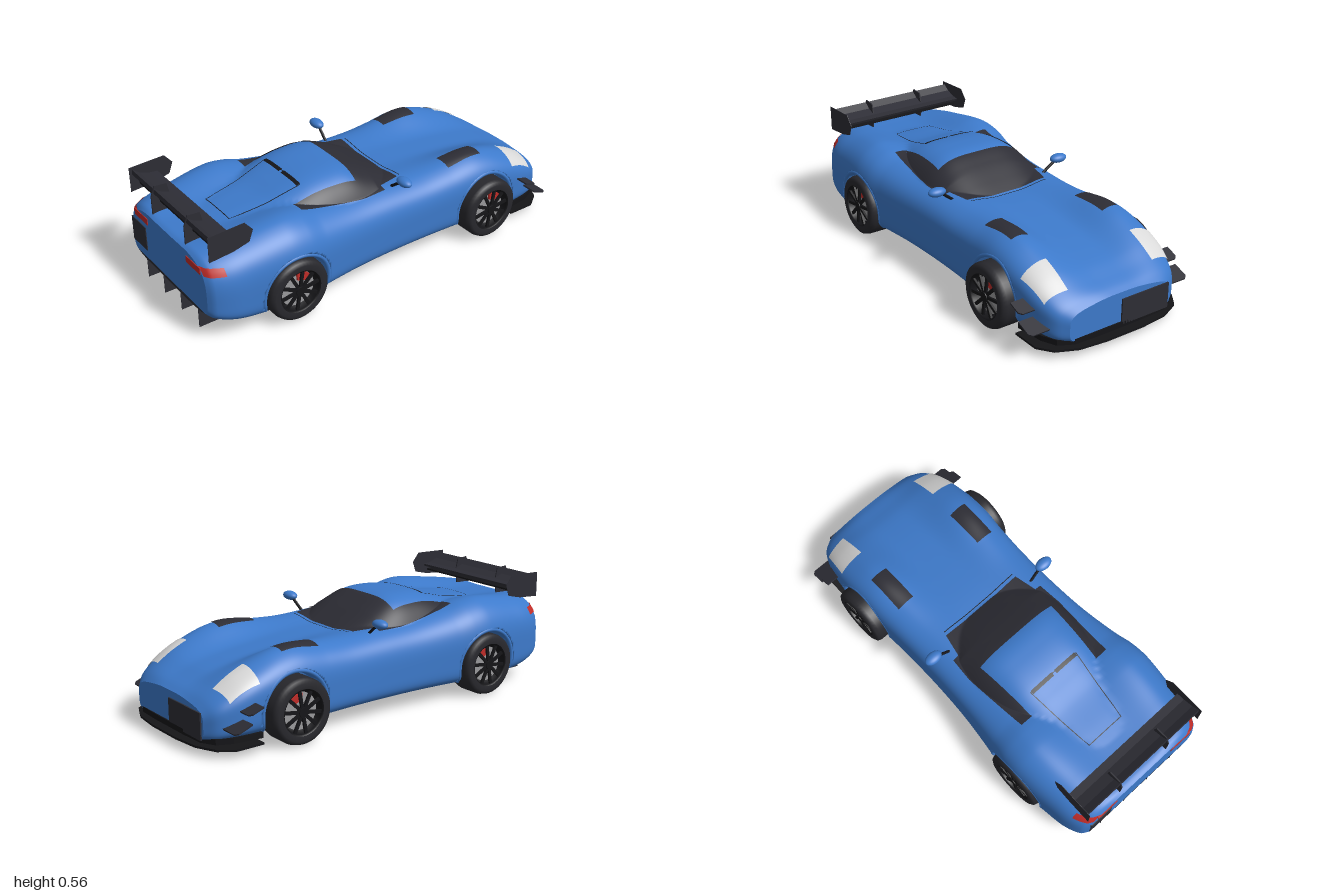
import * as THREE from 'three';

const mat = (name, color) => new THREE.MeshStandardMaterial({ name, color, side: THREE.DoubleSide });

// Body stations: x, half width, centre height, fender height, waist height, floor height
const BODY = [
  [-0.995, 0.335, 0.398, 0.408, 0.21, 0.125], [-0.975, 0.365, 0.407, 0.425, 0.2, 0.11], [-0.9, 0.397, 0.408, 0.442, 0.2, 0.08],
  [-0.8, 0.412, 0.41, 0.46, 0.2, 0.06], [-0.6, 0.432, 0.42, 0.49, 0.2, 0.057], [-0.5, 0.428, 0.42, 0.48, 0.2, 0.057],
  [-0.4, 0.41, 0.41, 0.453, 0.2, 0.057], [-0.2, 0.386, 0.385, 0.424, 0.2, 0.057], [0, 0.376, 0.378, 0.414, 0.2, 0.057],
  [0.2, 0.376, 0.375, 0.408, 0.2, 0.057], [0.35, 0.382, 0.365, 0.418, 0.2, 0.057], [0.5, 0.391, 0.35, 0.436, 0.2, 0.057],
  [0.6, 0.391, 0.338, 0.424, 0.2, 0.057], [0.7, 0.386, 0.322, 0.388, 0.2, 0.057], [0.8, 0.375, 0.3, 0.341, 0.185, 0.057],
  [0.88, 0.353, 0.27, 0.29, 0.165, 0.057], [0.93, 0.325, 0.25, 0.255, 0.15, 0.057], [0.965, 0.28, 0.23, 0.222, 0.14, 0.06]];
// Cabin stations: x, roof height, half width
const CABIN = [
  [-0.85, 0.4, 0.2], [-0.7, 0.425, 0.22], [-0.55, 0.447, 0.26], [-0.45, 0.475, 0.285], [-0.35, 0.502, 0.3],
  [-0.25, 0.513, 0.305], [-0.15, 0.508, 0.305], [-0.05, 0.467, 0.3], [0.05, 0.415, 0.29], [0.14, 0.365, 0.28]];
const WHEELS = [-0.58, 0.55], WHEEL_Y = 0.153;

// Smooth interpolation of one column of a station table
function look(T, x, k) {
  let i = 0;
  while (i < T.length - 2 && x > T[i + 1][0]) i++;
  const slope = j => {
    const a = T[Math.max(j - 1, 0)], b = T[Math.min(j + 1, T.length - 1)];
    return (b[k] - a[k]) / (b[0] - a[0]);
  };
  const p = T[i], q = T[i + 1], h = q[0] - p[0], u = THREE.MathUtils.clamp((x - p[0]) / h, 0, 1);
  const u2 = u * u, u3 = u2 * u;
  return (2 * u3 - 3 * u2 + 1) * p[k] + (u3 - 2 * u2 + u) * h * slope(i)
    + (3 * u2 - 2 * u3) * q[k] + (u3 - u2) * h * slope(i + 1);
}

// Height of fenders and deck at a fraction t of the half width
function shoulder(x, t) {
  const c = look(BODY, x, 2), f = look(BODY, x, 3), low = look(BODY, x, 4);
  const crown = c + (f - c) * THREE.MathUtils.smoothstep(t, 0.15, 0.75);
  return low + (crown - low) * Math.max(0, 1 - t ** 3.5) ** (1 / 3.5);
}
function topY(x, z) {
  const y = shoulder(x, Math.min(1, Math.abs(z) / look(BODY, x, 1)));
  if (x < CABIN[0][0] || x > CABIN[CABIN.length - 1][0]) return y;
  const roof = look(CABIN, x, 1);
  return Math.max(y, roof - Math.max(0.1, roof - 0.355) * (Math.abs(z) / look(CABIN, x, 2)) ** 4);
}
// Height of the lower flank at a fraction t of the half width
function lowerY(x, t) {
  const low = look(BODY, x, 4);
  return low - (low - look(BODY, x, 5)) * Math.max(0, 1 - t ** 5) ** 0.2;
}
// Half width of the body at height y
function sideZ(x, y) {
  const W = look(BODY, x, 1), low = look(BODY, x, 4), b = look(BODY, x, 5);
  if (y < low) return W * Math.max(0, 1 - ((low - y) / (low - b)) ** 5) ** 0.2;
  let a = 0.7, c = 1;
  for (let i = 0; i < 24; i++) { const m = (a + c) / 2; if (shoulder(x, m) > y) a = m; else c = m; }
  return W * a;
}

// Surface from a rule over (u, v) in 0..1
function grid(nu, nv, fn) {
  const pos = [], idx = [];
  for (let i = 0; i <= nu; i++) for (let j = 0; j <= nv; j++) pos.push(...fn(i / nu, j / nv));
  for (let i = 0; i < nu; i++) for (let j = 0; j < nv; j++) {
    const a = i * (nv + 1) + j, b = a + nv + 1;
    idx.push(a, b, b + 1, a, b + 1, a + 1);
  }
  const g = new THREE.BufferGeometry();
  g.setAttribute('position', new THREE.Float32BufferAttribute(pos, 3));
  g.setIndex(idx);
  g.computeVertexNormals();
  return g;
}

// Panel lying on the upper body; corners are [x, z] in order
function topPanel(A, B, C, D, nu = 24, nv = 24) {
  const mix = (k, u, v) => (A[k] * (1 - u) + B[k] * u) * (1 - v) + (D[k] * (1 - u) + C[k] * u) * v;
  return grid(nu, nv, (u, v) => {
    const x = mix(0, u, v), z = mix(1, u, v), e = 0.003, y = topY(x, z);
    const n = new THREE.Vector3((topY(x - e, z) - topY(x + e, z)) / (2 * e), 1, (topY(x, z - e) - topY(x, z + e)) / (2 * e));
    n.normalize().multiplyScalar(0.004);
    return [x + n.x, y + n.y, z + n.z];
  });
}

// Flat plate from outline points; plan plates lie in x-z, the rest stand in x-y
function plate(pts, depth, plan) {
  const g = new THREE.ExtrudeGeometry(new THREE.Shape(pts.map(p => new THREE.Vector2(...p))), { depth, bevelEnabled: false });
  if (plan) g.rotateX(Math.PI / 2); else g.translate(0, 0, -depth / 2);
  return g;
}

export function createModel() {
  const blue = mat('body blue', 0x3d7acb), dark = mat('dark trim', 0x2d2d35), black = mat('black', 0x151518);
  const white = mat('lamp white', 0xd9d9d9), red = mat('lamp red', 0xc02c28), silver = mat('brake silver', 0x9a9a9c);
  const tyreMat = mat('tyre rubber', 0x28282d);
  const model = new THREE.Group();
  model.name = 'sportsCar';
  const add = (name, geo, m, x = 0, y = 0, z = 0, parent = model) => {
    const mesh = new THREE.Mesh(geo, m);
    mesh.name = name;
    mesh.position.set(x, y, z);
    parent.add(mesh);
    return mesh;
  };

  // Painted shell: lower flank, over the top, lower flank, with recessed wheel wells
  const X0 = BODY[0][0], X1 = BODY[BODY.length - 1][0];
  const rows = [];
  for (let k = 12; k > 0; k--) rows.push([1 - 0.08 * (k / 12) ** 5, 1, false]);
  for (let k = 44; k >= 0; k--) rows.push([1 - (1 - k / 44) ** 3, 1, true]);
  for (let k = rows.length - 2; k >= 0; k--) rows.push([rows[k][0], -1, rows[k][2]]);
  const point = (x, [t, s, upper]) => {
    let z = s * t * look(BODY, x, 1);
    const y = upper ? topY(x, z) : lowerY(x, t);
    if (WHEELS.some(w => Math.hypot(x - w, y - WHEEL_Y) < 0.172)) z = THREE.MathUtils.clamp(z, -0.3, 0.3);
    return [x, y, z];
  };
  const nr = rows.length - 1, xAt = u => X0 + (X1 - X0) * u;
  add('bodyShell', grid(200, nr, (u, v) => point(xAt(u), rows[Math.round(v * nr)])), blue);
  add('underbody', grid(100, 24, (u, v) => {
    const s = 1.84 * v - 0.92, x = xAt(u);
    return [x, lowerY(x, Math.abs(s)), s * look(BODY, x, 1)];
  }), black);
  for (const [name, x, flip] of [['nosePanel', X1, 1], ['tailPanel', X0, 0]]) {
    add(name, grid(nr, 1, (u, v) => v === flip ? [x, lowerY(x, 0.92), 0] : point(x, rows[Math.round(u * nr)])), blue);
  }

  // Front lip and splitter
  const mirrorPlan = pts => [...pts, ...pts.slice().reverse().map(([x, z]) => [x, -z])];
  add('frontLip', plate(mirrorPlan([[0.72, 0.37], [0.86, 0.352], [0.93, 0.32], [0.966, 0.25], [0.972, 0.12]]), 0.026, true), black, 0, 0.084);
  add('splitter', plate(mirrorPlan([[0.73, 0.39], [0.87, 0.39], [0.94, 0.34], [0.985, 0.24], [1, 0.1]]), 0.01, true), black, 0, 0.046);
  add('noseIntake', new THREE.BoxGeometry(0.008, 0.125, 0.265), dark, X1 + 0.003, 0.133, -0.133);
  add('tailVent', new THREE.BoxGeometry(0.008, 0.125, 0.13), dark, X0, 0.25, -0.268);

  // Glass
  add('windshield', topPanel([-0.13, 0.275], [0.115, 0.225], [0.115, -0.225], [-0.13, -0.275], 30, 50), dark);
  add('cowlSeam', topPanel([0.132, 0.22], [0.136, 0.22], [0.136, -0.22], [0.132, -0.22], 1, 40), black);

  // Engine cover seams
  add('coverSeamRear', topPanel([-0.734, 0.1], [-0.73, 0.1], [-0.73, -0.1], [-0.734, -0.1], 1), black);
  add('coverSeamFront', topPanel([-0.384, 0.145], [-0.38, 0.145], [-0.38, -0.145], [-0.384, -0.145], 1), black);

  for (const s of [1, -1]) {
    const side = s > 0 ? 'left' : 'right';
    const panel = (name, m, ...c) => add(side + name, topPanel(...c.map(([x, z]) => [x, z * s]), 30, 24), m);
    panel('RearQuarterWindow', dark, [-0.46, 0.205], [-0.12, 0.225], [-0.12, 0.289], [-0.46, 0.27]);
    panel('DoorWindow', dark, [-0.125, 0.225], [0.0, 0.222], [0.0, 0.28], [-0.125, 0.289]);
    panel('HoodVent', dark, [0.37, 0.21], [0.57, 0.21], [0.57, 0.3], [0.37, 0.3]);
    panel('Headlight', white, [0.73, 0.235], [0.885, 0.235], [0.87, 0.345], [0.73, 0.365]);
    panel('CoverSeam', black, [-0.734, 0.1], [-0.38, 0.141], [-0.38, 0.145], [-0.734, 0.104]);
    panel('CoverSlot', black, [-0.395, 0.008], [-0.376, 0.008], [-0.376, 0.138], [-0.395, 0.138]);

    // Tail light wraps from the flank onto the tail
    add(side + 'TailLightSide', grid(12, 3, (u, v) => {
      const x = -0.993 + 0.08 * u, y = 0.343 + 0.033 * v;
      return [x, y, s * (sideZ(x, y) + 0.004)];
    }), red);
    add(side + 'TailLight', new THREE.BoxGeometry(0.008, 0.033, 0.12), red, X0 + 0.001, 0.357, s * 0.235);

    // Canards on the nose corners
    for (const [x, y, len, inner] of [[0.8, 0.217, 0.075, 0.35], [0.865, 0.15, 0.09, 0.335]]) {
      const h = len / 2, pts = [[-h, inner], [h, inner], [h, 0.43], [h - 0.015, 0.445], [-h, 0.445]];
      add(side + 'Canard', plate(pts.map(([a, b]) => [a, b * s]), 0.007, true), dark, x, y).rotation.z = -0.36;
    }

    // Mirror on a short arm
    add(side + 'Mirror', new THREE.SphereGeometry(1, 24, 16), blue, 0.057, 0.449, s * 0.353).scale.set(0.029, 0.022, 0.046);
    const arm = new THREE.LineCurve3(new THREE.Vector3(0.05, 0.385, s * 0.262), new THREE.Vector3(0.057, 0.442, s * 0.335));
    add(side + 'MirrorArm', new THREE.TubeGeometry(arm, 2, 0.007, 8), black);

    // Rear wing end plate and mount
    add(side + 'WingEndPlate', plate([[-0.98, 0.425], [-0.86, 0.435], [-0.78, 0.455], [-0.76, 0.51], [-0.8, 0.557], [-0.98, 0.55]], 0.002), dark, 0, 0, s * 0.35);
    add(side + 'WingMount', plate([[-0.98, 0.39], [-0.9, 0.395], [-0.885, 0.48], [-0.9, 0.545], [-0.96, 0.55], [-0.98, 0.5]], 0.006), dark, 0, 0, s * 0.147);

    // Diffuser fins
    for (const z of [0.078, 0.235]) add('diffuserFin', plate([[-0.99, 0.02], [-0.76, 0.02], [-0.99, 0.12]], 0.003), dark, 0, 0, s * z);

    WHEELS.forEach((wx, k) => {
      // Arch lip follows the body surface
      const lip = [];
      for (let a = -0.4; a <= Math.PI + 0.41; a += 0.16) {
        const x = wx + 0.174 * Math.cos(a), y = WHEEL_Y + 0.174 * Math.sin(a);
        lip.push(new THREE.Vector3(x, y, s * (sideZ(x, y) - 0.008)));
      }
      add(side + 'WheelArch', new THREE.TubeGeometry(new THREE.CatmullRomCurve3(lip), 50, 0.01, 8), blue);

      // Wheel: tyre, barrel, brake disc, caliper and spokes
      const wheel = new THREE.Group();
      wheel.name = side + (k ? 'FrontWheel' : 'RearWheel');
      wheel.position.set(wx, WHEEL_Y, s * 0.365);
      wheel.scale.z = s;
      model.add(wheel);
      const tyre = [[0.104, -0.07], [0.13, -0.074], [0.146, -0.066], [0.153, -0.045], [0.153, 0.045], [0.147, 0.064], [0.132, 0.073], [0.106, 0.07]];
      const spin = pts => new THREE.LatheGeometry(pts.map(p => new THREE.Vector2(...p)), 48).rotateX(Math.PI / 2);
      add('tyre', spin(tyre), tyreMat, 0, 0, 0, wheel);
      add('rim', spin([[0.001, -0.06], [0.1, -0.06], [0.1, 0.066], [0.107, 0.071]]), black, 0, 0, 0, wheel);
      add('brakeDisc', new THREE.CylinderGeometry(0.086, 0.086, 0.012, 40).rotateX(Math.PI / 2), silver, 0, 0, 0.035, wheel);
      const caliper = new THREE.Shape().absarc(0, 0, 0.086, 0.75, 1.65, false).absarc(0, 0, 0.05, 1.65, 0.75, true);
      add('caliper', new THREE.ExtrudeGeometry(caliper, { depth: 0.012, bevelEnabled: false }), red, 0, 0, 0.04, wheel);
      add('hub', new THREE.CylinderGeometry(0.022, 0.026, 0.018, 24).rotateX(Math.PI / 2), black, 0, 0, 0.06, wheel);
      for (let i = 0; i < 10; i++) {
        const spoke = add('spoke', new THREE.BoxGeometry(0.088, 0.015, 0.01).translate(0.058, 0, 0), black, 0, 0, 0.06, wheel);
        spoke.rotation.z = i * Math.PI / 5 + 0.15;
      }
    });
  }

  // Rear wing blade with a raised trailing edge
  const foil = [[-0.965, 0.537], [-0.93, 0.512], [-0.88, 0.494], [-0.84, 0.49], [-0.845, 0.478], [-0.89, 0.474], [-0.935, 0.49], [-0.968, 0.515]];
  add('wingBlade', plate(foil, 0.698), dark);
  add('wingLowerBlade', plate([[-0.94, 0.474], [-0.85, 0.466], [-0.85, 0.458], [-0.94, 0.464]], 0.67), black);
  return model;
}
